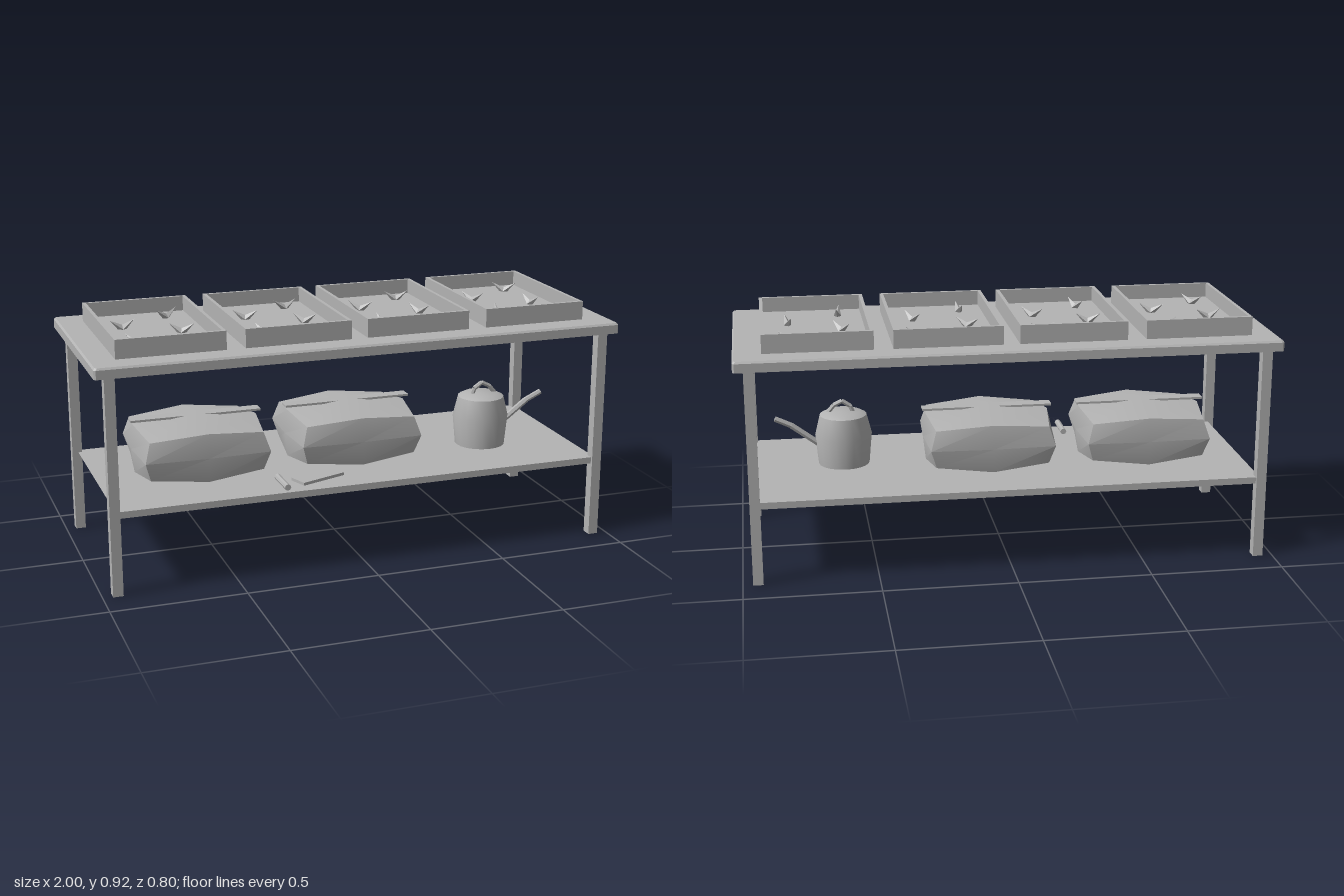
import * as THREE from 'three';
import { toCreasedNormals } from 'three/addons/utils/BufferGeometryUtils.js';

const grey = new THREE.MeshStandardMaterial({ color: 0xb3b3b3 });
grey.name = 'plain grey';

function add(parent, name, geometry, x = 0, y = 0, z = 0) {
  const mesh = new THREE.Mesh(geometry, grey);
  mesh.name = name;
  mesh.position.set(x, y, z);
  parent.add(mesh);
  return mesh;
}

// Box without one opposite pair of sides (pair 0 = x, 1 = y, 2 = z)
function openBox(w, h, d, pair) {
  const g = new THREE.BoxGeometry(w, h, d);
  const index = Array.from(g.index.array);
  index.splice(pair * 12, 12);
  g.setIndex(index);
  g.clearGroups();
  return g;
}

// Straight round bar between two points
function bar(parent, name, a, b, radius, sides = 6) {
  const from = new THREE.Vector3(...a), to = new THREE.Vector3(...b);
  const dir = to.clone().sub(from);
  const g = toCreasedNormals(new THREE.CylinderGeometry(radius, radius, dir.length(), sides), 0.7);
  const mesh = add(parent, name, g);
  mesh.position.copy(from).add(to).multiplyScalar(0.5);
  mesh.quaternion.setFromUnitVectors(new THREE.Vector3(0, 1, 0), dir.normalize());
  return mesh;
}

// Slab with clipped corners and a bevelled upper rim
function tabletopGeometry() {
  const w = 1, d = 0.4, c = 0.007;
  const shape = new THREE.Shape([
    [w - c, -d], [w, -d + c], [w, d - c], [w - c, d],
    [-w + c, d], [-w, d - c], [-w, -d + c], [-w + c, -d],
  ].map(([x, y]) => new THREE.Vector2(x, y)));
  const g = new THREE.ExtrudeGeometry(shape, { depth: 2, steps: 2, bevelEnabled: false });
  g.rotateX(-Math.PI / 2);
  const p = g.attributes.position;
  const heights = [0.81, 0.843, 0.85];
  for (let i = 0; i < p.count; i++) {
    const level = Math.round(p.getY(i));
    const inset = level === 2 ? 0.006 : 0;
    p.setXYZ(i, p.getX(i) - Math.sign(p.getX(i)) * inset, heights[level],
      p.getZ(i) - Math.sign(p.getZ(i)) * inset);
  }
  g.computeVertexNormals();
  return g;
}

// Plump sack: box whose edge and face midpoints bulge outwards
function sackGeometry() {
  const X = [0.2475, 0.237, 0.215], Y = [0.125, 0.092, 0.072], Z = [0.208, 0.2, 0.178];
  const g = new THREE.BoxGeometry(2, 2, 2, 2, 2, 2);
  const p = g.attributes.position;
  for (let i = 0; i < p.count; i++) {
    const [x, y, z] = [p.getX(i), p.getY(i), p.getZ(i)].map(Math.round);
    const n = Math.abs(x) + Math.abs(y) + Math.abs(z) - 1;
    p.setXYZ(i, x * X[n], y * Y[n], z * Z[n]);
  }
  return toCreasedNormals(g, 0.6);
}

function trayRimGeometry() {
  const rect = (P, w, d) => new P([[-w, -d], [w, -d], [w, d], [-w, d]].map(([x, y]) => new THREE.Vector2(x, y)));
  const shape = rect(THREE.Shape, 0.2, 0.3);
  shape.holes.push(rect(THREE.Path, 0.187, 0.287));
  return new THREE.ExtrudeGeometry(shape, { depth: 0.07, bevelEnabled: false }).rotateX(-Math.PI / 2);
}

export function createModel() {
  const model = new THREE.Group();
  model.name = 'pottingBench';

  // Bench
  add(model, 'tabletop', tabletopGeometry());
  add(model, 'lowerShelf', openBox(1.88, 0.025, 0.74, 0), 0, 0.3025, 0);
  const leg = openBox(0.038, 0.81, 0.04, 1);
  for (const sx of [-1, 1]) for (const sz of [-1, 1]) {
    add(model, 'leg', leg, sx * 0.944, 0.405, sz * 0.36);
  }

  // Seed trays, each with four two-leaved seedlings
  const rim = trayRimGeometry();
  const floor = new THREE.BoxGeometry(0.376, 0.014, 0.576);
  const leaf = new THREE.ConeGeometry(0.014, 0.058, 4).translate(0, 0.029, 0).toNonIndexed();
  leaf.computeVertexNormals();
  [-0.705, -0.235, 0.226, 0.696].forEach((x, t) => {
    const tray = new THREE.Group();
    tray.name = 'seedTray';
    tray.position.set(x, 0.85, 0);
    model.add(tray);
    add(tray, 'trayRim', rim);
    add(tray, 'trayFloor', floor, 0, 0.007, 0);
    for (let r = 0; r < 4; r++) {
      const seedling = new THREE.Group();
      seedling.name = 'seedling';
      seedling.position.set(r % 2 ? -0.097 : 0.097, 0.016, -0.188 + r * 0.122);
      seedling.rotation.y = -THREE.MathUtils.degToRad(-25 + 23.5 * r + 18 * t);
      tray.add(seedling);
      for (const s of [-1, 1]) add(seedling, 'leaf', leaf).rotation.z = s * 0.95;
    }
  });

  // Sacks, each with a flat strip across the top
  const sack = sackGeometry();
  for (const x of [-0.553, 0.047]) {
    add(model, 'sack', sack, x, 0.42, 0);
    add(model, 'sackSeam', new THREE.BoxGeometry(0.5, 0.008, 0.05), x, 0.532, 0);
  }

  // Watering can
  const can = new THREE.Group();
  can.name = 'wateringCan';
  can.position.set(0.596, 0, 0.05);
  model.add(can);
  const profile = [[0, 0.315], [0.098, 0.315], [0.109, 0.43], [0.09, 0.508], [0.066, 0.52], [0, 0.52]];
  add(can, 'canBody', toCreasedNormals(
    new THREE.LatheGeometry(profile.map(([r, y]) => new THREE.Vector2(r, y)), 20), 0.5));
  const handle = [[-0.04, 0.512, 0], [-0.028, 0.54, 0], [0.003, 0.561, 0], [0.035, 0.545, 0], [0.06, 0.515, 0]];
  for (let i = 1; i < handle.length; i++) bar(can, 'canHandle', handle[i - 1], handle[i], 0.009);
  bar(can, 'canSpout', [0.09, 0.39, 0], [0.2, 0.472, 0], 0.012);
  bar(can, 'canSpoutTip', [0.196, 0.47, 0], [0.26, 0.5, 0], 0.011);

  // Hand tool pieces lying on the shelf
  bar(model, 'toolGrip', [-0.305, 0.334, 0.37], [-0.305, 0.334, 0.24], 0.012, 8);
  add(model, 'toolBlade', new THREE.BoxGeometry(0.19, 0.011, 0.075), -0.152, 0.322, 0.255).rotation.y = 0.35;

  return model;
}
